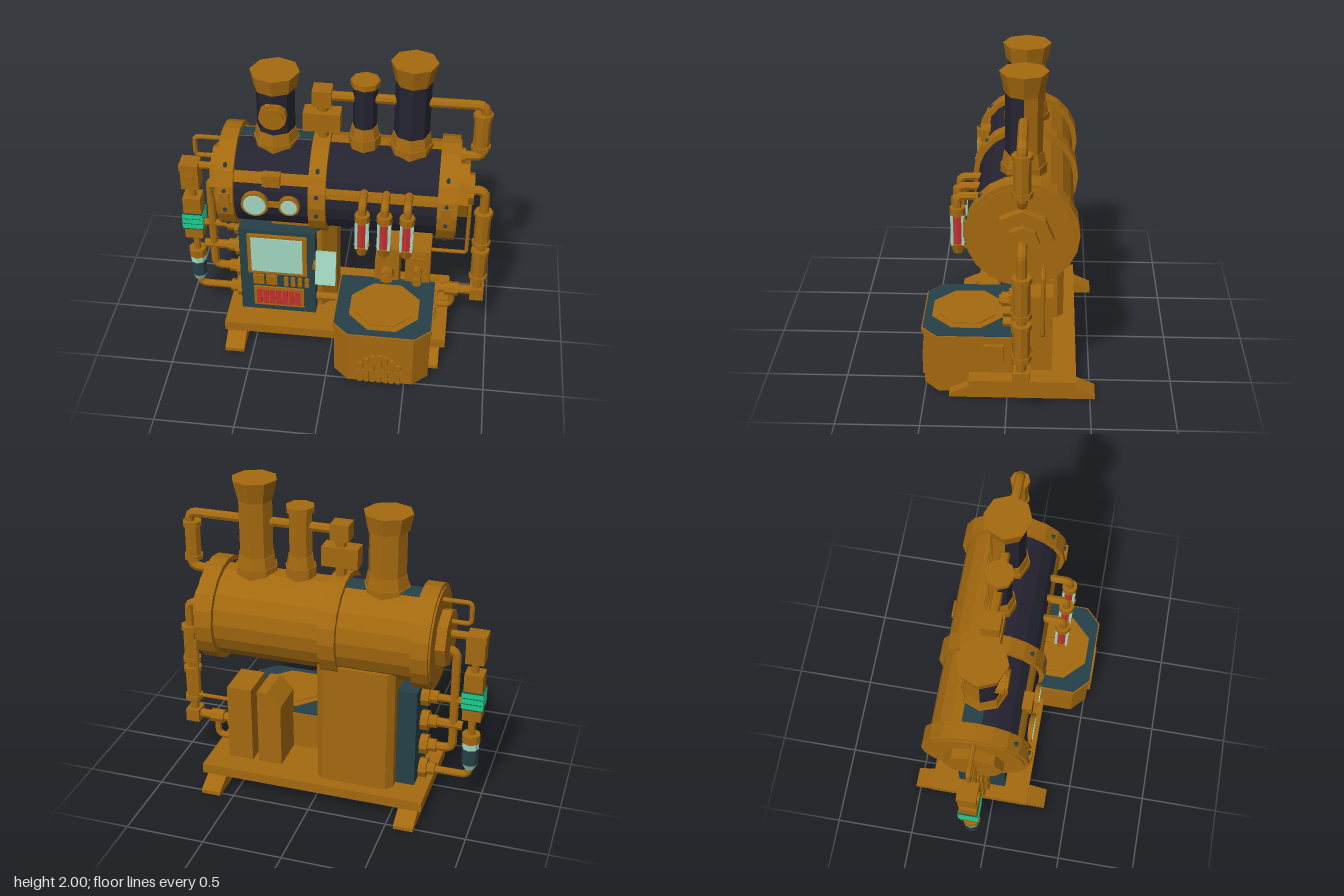
import * as THREE from 'three';

const mat = (name, color, double) => {
  const m = new THREE.MeshStandardMaterial({ color });
  m.name = name;
  m.flatShading = true;
  if (double) m.side = THREE.DoubleSide;
  return m;
};

export function createModel() {
  const root = new THREE.Group();
  root.name = 'boilerMachine';
  const bronze = mat('bronze', 0xa4690f), navy = mat('navy', 0x242330), teal = mat('teal', 0x254048),
    mint = mat('mintGlass', 0xa2d6c0), red = mat('red', 0xc42f2f), green = mat('green', 0x1fcb8c),
    darkGreen = mat('darkGreen', 0x125a48);
  const Z = -0.09, CY = 1.13, D = Math.PI / 180;

  const add = (name, geo, m, x = 0, y = 0, z = 0) => {
    const mesh = new THREE.Mesh(geo, m);
    mesh.name = name;
    mesh.position.set(x, y, z);
    root.add(mesh);
    return mesh;
  };
  // box given by its min and max corners
  const box = (name, m, x0, x1, y0, y1, z0, z1) =>
    add(name, new THREE.BoxGeometry(x1 - x0, y1 - y0, z1 - z0), m, (x0 + x1) / 2, (y0 + y1) / 2, (z0 + z1) / 2);
  // upright cylinder from y0 to y1
  const post = (name, m, rBottom, rTop, x, y0, y1, z = Z, seg = 8) =>
    add(name, new THREE.CylinderGeometry(rTop, rBottom, y1 - y0, seg), m, x, (y0 + y1) / 2, z);
  // cylinder along x; angles run from the front (0) over the top (90)
  const barrel = (name, m, r, x0, x1, y = CY, z = Z, seg = 8, a0 = 0, a1 = 360) =>
    add(name, new THREE.CylinderGeometry(r, r, x1 - x0, seg, 1, a1 - a0 < 360, a0 * D, (a1 - a0) * D)
      .rotateZ(Math.PI / 2), m, (x0 + x1) / 2, y, z);
  // disc facing the front
  const disc = (name, m, r, x, y, z0, z1, seg = 16) =>
    add(name, new THREE.CylinderGeometry(r, r, z1 - z0, seg).rotateX(Math.PI / 2), m, x, y, (z0 + z1) / 2);
  // plan outline (x, z) raised from y0 to y1
  const prism = (name, m, pts, y0, y1) => {
    const s = new THREE.Shape(pts.map(([x, z]) => new THREE.Vector2(x, -z)));
    return add(name, new THREE.ExtrudeGeometry(s, { depth: y1 - y0, bevelEnabled: false }).rotateX(-Math.PI / 2), m, 0, y0, 0);
  };
  // pipe through points with rounded corners
  const pipe = (name, pts, r, bend = 0.05) => {
    const v = pts.map(p => new THREE.Vector3(...p)), path = new THREE.CurvePath();
    let last = v[0];
    for (let i = 1; i < v.length - 1; i++) {
      const a = v[i].clone().add(v[i - 1].clone().sub(v[i]).setLength(bend));
      const b = v[i].clone().add(v[i + 1].clone().sub(v[i]).setLength(bend));
      path.add(new THREE.LineCurve3(last, a));
      path.add(new THREE.QuadraticBezierCurve3(a, v[i], b));
      last = b;
    }
    path.add(new THREE.LineCurve3(last, v[v.length - 1]));
    return add(name, new THREE.TubeGeometry(path, 64, r, 8), bronze);
  };
  // thicker pipe sleeve with a collar at each end
  const sleeve = (name, x, y0, y1) => {
    post(name, bronze, 0.05, 0.05, x, y0, y1);
    for (const y of [y0, y1 - 0.03]) post(name + 'Collar', bronze, 0.06, 0.06, x, y, y + 0.03);
  };

  // base plate and feet
  box('basePlate', bronze, -0.7, 0.74, 0.075, 0.14, -0.415, 0.23);
  const footShape = new THREE.Shape([[-0.53, 0], [-0.53, 0.025], [-0.42, 0.075], [0.24, 0.075], [0.35, 0.025], [0.35, 0]]
    .map(p => new THREE.Vector2(-p[0], p[1])));
  for (const x of [-0.68, 0.58])
    add('foot', new THREE.ExtrudeGeometry(footShape, { depth: 0.125, bevelEnabled: false }).rotateY(Math.PI / 2), bronze, x);

  // column under the boiler
  prism('column', bronze, [[-0.49, -0.3], [-0.45, -0.34], [-0.04, -0.34], [0, -0.3], [0, -0.1], [-0.09, -0.01], [-0.4, -0.01], [-0.49, -0.1]], 0.14, 0.95);

  // boiler: painted front, bare back, end flanges and trim
  barrel('boilerFront', navy, 0.293, -0.62, 0.66, CY, Z, 10, -90, 85);
  barrel('boilerBack', bronze, 0.293, -0.62, 0.66, CY, Z, 10, 85, 270);
  barrel('boilerTopPlate', teal, 0.297, -0.6, -0.14, CY, Z, 2, 85, 108);
  barrel('trimLeft', bronze, 0.3, -0.6, -0.14, CY, Z, 2, 24, 38);
  barrel('trimRight', bronze, 0.3, -0.035, 0.64, CY, Z, 2, 11, 24);
  for (const [x0, x1] of [[-0.7, -0.595], [-0.14, -0.035], [0.635, 0.745]]) {
    barrel('boilerBand', bronze, 0.325, x0, x1, CY, Z, 20);
    for (const a of [-40, -10, 14, 42])
      disc('bandBolt', teal, 0.013, (x0 + x1) / 2, CY + 0.325 * Math.sin(a * D), Z + 0.32 * Math.cos(a * D) - 0.02, Z + 0.325 * Math.cos(a * D) + 0.008, 6);
  }
  for (const [x0, x1] of [[-0.71, -0.685], [0.73, 0.755]]) barrel('endDisc', bronze, 0.3, x0, x1, CY, Z, 20);
  barrel('endCapLeft', bronze, 0.18, -0.77, -0.7);
  barrel('endCapRight', bronze, 0.18, 0.745, 0.815);
  barrel('endHub', bronze, 0.1, 0.81, 0.85);
  for (const x of [-0.645, 0.69]) box('bandPlate', bronze, x - 0.03, x + 0.03, 1.1, 1.2, 0.2, 0.245);
  box('trimPlate', bronze, -0.42, -0.31, 1.24, 1.32, 0.14, 0.2);

  // portholes
  for (const [x, r] of [[-0.465, 0.085], [-0.255, 0.066]]) {
    disc('portholeRing', bronze, r, x, 1.12, 0.15, 0.225);
    disc('portholeGlass', mint, r - 0.015, x, 1.12, 0.22, 0.23);
  }
  box('portholeBridge', bronze, -0.4, -0.3, 1.1, 1.14, 0.15, 0.212);

  // chimneys, painted on the front half only
  for (const [x, r, y0, y1, y2, rc, rt] of [[-0.37, 0.117, 1.48, 1.78, 1.885, 0.13, 0.15],
    [0.45, 0.108, 1.5, 1.87, 2, 0.108, 0.14], [0.167, 0.073, 1.53, 1.825, 1.86, 0.088, 0.088]]) {
    for (const [m, start] of [[navy, -90], [bronze, 90]])
      add('chimneyShaft', new THREE.CylinderGeometry(r, r, y1 - 1.35, 4, 1, true, start * D, Math.PI), m, x, (y1 + 1.35) / 2, Z);
    post('chimneyCap', bronze, rc, rt, x, y1, y2);
    post('chimneyBase', bronze, r + 0.02, r + 0.005, x, y0 - 0.06, y0 + 0.02);
    post('chimneyFoot', bronze, r + 0.025, r + 0.025, x, 1.35, y0 - 0.05);
  }
  disc('chimneyGauge', bronze, 0.085, -0.37, 1.635, -0.02, 0.045, 12);
  disc('chimneyGaugeFace', bronze, 0.068, -0.37, 1.635, 0.04, 0.06, 12);

  // overhead pipe with valve boxes
  post('valvePost', bronze, 0.035, 0.035, -0.085, 1.35, 1.7);
  box('valveBoxTop', bronze, -0.145, -0.03, 1.68, 1.785, -0.145, -0.035);
  box('valveBoxLower', bronze, -0.2, 0.025, 1.51, 1.635, -0.135, -0.03);
  pipe('overheadPipe', [[-0.05, 1.735, Z], [0.88, 1.735, Z], [0.88, 1.375, Z], [0.72, 1.375, Z]], 0.03);
  sleeve('overheadSleeve', 0.865, 1.43, 1.68);
  barrel('overheadFlange', bronze, 0.045, 0.74, 0.78, 1.375);

  // right-hand pipes
  pipe('rightPipe', [[0.84, 1.12, Z], [0.92, 1.12, Z], [0.92, 0.31, Z], [0.63, 0.31, Z]], 0.03);
  sleeve('rightSleeveUpper', 0.92, 0.7, 0.96);
  sleeve('rightSleeveLower', 0.92, 0.42, 0.66);
  box('rightElbow', bronze, 0.875, 0.965, 0.265, 0.35, Z - 0.05, Z + 0.05);
  barrel('rightCoupling', bronze, 0.045, 0.71, 0.8, 0.31);
  barrel('rightFlange', bronze, 0.06, 0.64, 0.67, 0.3);
  pipe('drainPipe', [[0.76, 0.31, Z], [0.76, 0.17, Z], [0.62, 0.17, Z]], 0.022);
  pipe('thinPipe', [[0.73, 0.92, -0.21], [0.835, 0.92, -0.21], [0.835, 0.525, -0.21], [0.59, 0.525, -0.21]], 0.013, 0.02);

  // left-hand pipes
  pipe('loopPipe', [[-0.68, 1.375, Z], [-0.885, 1.375, Z], [-0.885, 1.24, Z], [-0.74, 1.24, Z]], 0.015, 0.03);
  pipe('leftFeedPipe', [[-0.9, 1.16, Z], [-0.74, 1.16, Z]], 0.025);
  pipe('leftRiserPipe', [[-0.6, 0.36, Z], [-0.81, 0.36, Z], [-0.81, 1.05, Z], [-0.73, 1.05, Z]], 0.028);
  pipe('leftDrainPipe', [[-0.925, 1.1, Z], [-0.925, 0.185, Z], [-0.6, 0.185, Z]], 0.024);
  pipe('upperLink', [[-0.6, 0.71, Z], [-0.9, 0.71, Z]], 0.025);
  pipe('middleLink', [[-0.6, 0.535, Z], [-0.87, 0.535, Z]], 0.03);
  for (const y of [0.71, 0.535, 0.36, 0.185]) {
    barrel('pipeSocket', bronze, 0.065, -0.66, -0.6, y);
    barrel('pipeSocketCollar', bronze, 0.042, -0.71, -0.65, y);
  }
  box('leftValve', bronze, -0.985, -0.87, 1.0, 1.15, Z - 0.055, Z + 0.055);
  box('leftValveCap', bronze, -0.99, -0.87, 1.14, 1.185, Z - 0.06, Z + 0.06);
  disc('leftValveKnob', bronze, 0.03, -0.925, 1.085, -0.04, -0.02, 8);
  box('meterBody', bronze, -0.985, -0.87, 0.61, 0.925, Z - 0.055, Z + 0.055);
  box('meterScreen', darkGreen, -0.992, -0.865, 0.685, 0.81, Z - 0.06, Z + 0.06);
  for (let i = 0; i < 3; i++) box('meterBar', green, -0.995, -0.862, 0.695 + i * 0.038, 0.725 + i * 0.038, Z - 0.064, Z + 0.064);
  post('flaskCap', bronze, 0.058, 0.058, -0.925, 0.435, 0.49);
  post('flaskGlass', mint, 0.053, 0.053, -0.925, 0.39, 0.435);
  post('flaskLiquid', teal, 0.053, 0.053, -0.925, 0.28, 0.39);
  post('flaskTip', mint, 0.03, 0.053, -0.925, 0.235, 0.28);

  // control cabinet
  box('cabinet', teal, -0.61, -0.12, 0.14, 0.8, -0.24, 0.07);
  box('screenFrame', bronze, -0.555, -0.172, 0.46, 0.772, 0.05, 0.09);
  box('screen', mint, -0.53, -0.2, 0.485, 0.755, 0.088, 0.096);
  for (const x of [-0.49, -0.405]) box('cabinetKey', bronze, x - 0.036, x + 0.036, 0.365, 0.44, 0.06, 0.085);
  for (let i = 0; i < 4; i++)
    for (const y of [0.38, 0.42]) disc('cabinetKnob', bronze, 0.016, -0.31 + i * 0.045, y, 0.06, 0.09, 8);
  box('lampFrame', bronze, -0.525, -0.195, 0.185, 0.34, 0.05, 0.082);
  for (let i = 0; i < 7; i++) box('redLamp', red, -0.505 + i * 0.042, -0.47 + i * 0.042, 0.205, 0.32, 0.08, 0.089);
  const tablet = box('tablet', mint, -0.11, 0.02, 0.465, 0.695, 0.115, 0.14);
  tablet.rotation.x = -0.24;
  box('tabletArm', bronze, -0.13, -0.03, 0.55, 0.59, 0.03, 0.12);
  pipe('cabinetLink', [[-0.14, 0.25, 0.02], [0.08, 0.25, 0.02]], 0.026);

  // red vials on the boiler front
  for (const x of [0.197, 0.33, 0.465]) {
    const vz = 0.295;
    post('vialTube', red, 0.038, 0.038, x, 0.93, 1.12, vz);
    for (const [dx, dz] of [[1, 1], [1, -1], [-1, 1], [-1, -1]])
      box('vialGlass', mint, x + dx * 0.032 - 0.008, x + dx * 0.032 + 0.008, 0.93, 1.12, vz + dz * 0.032 - 0.008, vz + dz * 0.032 + 0.008);
    post('vialCap', bronze, 0.047, 0.047, x, 1.115, 1.165, vz);
    post('vialFoot', bronze, 0.03, 0.05, x, 0.87, 0.935, vz);
    pipe('vialPipe', [[x, 1.15, vz], [x, 1.235, vz], [x, 1.235, 0.16]], 0.025, 0.04);
    pipe('vialReturn', [[x, 0.905, vz], [x, 0.905, 0.08]], 0.013);
  }

  // furnace block with chamfered front corners
  const plan = (g) => [[0.045 - g, -0.03 - g], [0.645 + g, -0.03 - g], [0.645 + g, 0.42 + g / 2], [0.55 + g / 2, 0.51 + g], [0.14 - g / 2, 0.51 + g], [0.045 - g, 0.42 + g / 2]];
  prism('furnaceBody', bronze, plan(0), 0, 0.37);
  prism('furnaceLip', bronze, plan(0.012), 0.36, 0.395);
  prism('furnaceTop', teal, plan(0.004), 0.393, 0.4);
  const ring = (name, r, y0, y1) => {
    const m = post(name, bronze, r, r, 0.345, y0, y1, 0.25);
    m.geometry.rotateY(22.5 * D);
  };
  ring('hotplateRim', 0.235, 0.395, 0.404);
  ring('hotplate', 0.19, 0.4, 0.41);
  // arched grille on the furnace front
  for (let i = 0; i < 7; i++) {
    const x = 0.222 + i * 0.04, top = 0.235 - 0.085 * ((x - 0.342) / 0.13) ** 2;
    box('grilleBar', bronze, x - 0.013, x + 0.013, 0.01, top, 0.5, 0.53);
  }
  box('grilleSill', bronze, 0.2, 0.485, 0.085, 0.1, 0.5, 0.525);
  box('furnaceHatch', bronze, 0.63, 0.67, 0.23, 0.34, 0.02, 0.14);

  // pump housings behind the furnace
  const sloped = new THREE.Shape([[0.255, 0.14], [0.41, 0.14], [0.41, 0.65], [0.345, 0.65], [0.255, 0.56]].map(p => new THREE.Vector2(...p)));
  add('slopedHousing', new THREE.ExtrudeGeometry(sloped, { depth: 0.25, bevelEnabled: false }), bronze, 0, 0, -0.27);
  disc('housingDial', bronze, 0.048, 0.335, 0.47, -0.03, 0.045, 8);
  disc('housingDialHub', bronze, 0.03, 0.335, 0.47, 0.04, 0.06, 8);
  box('squareHousing', bronze, 0.45, 0.61, 0.14, 0.65, -0.27, -0.02);
  for (let i = 0; i < 3; i++)
    for (const y of [0.58, 0.615]) box('housingKey', bronze, 0.487 + i * 0.033, 0.51 + i * 0.033, y, y + 0.022, -0.03, -0.005);
  for (const y of [0.505, 0.43]) disc('housingKnob', bronze, 0.03, 0.53, y, -0.03, 0.03, 8);
  return root;
}
